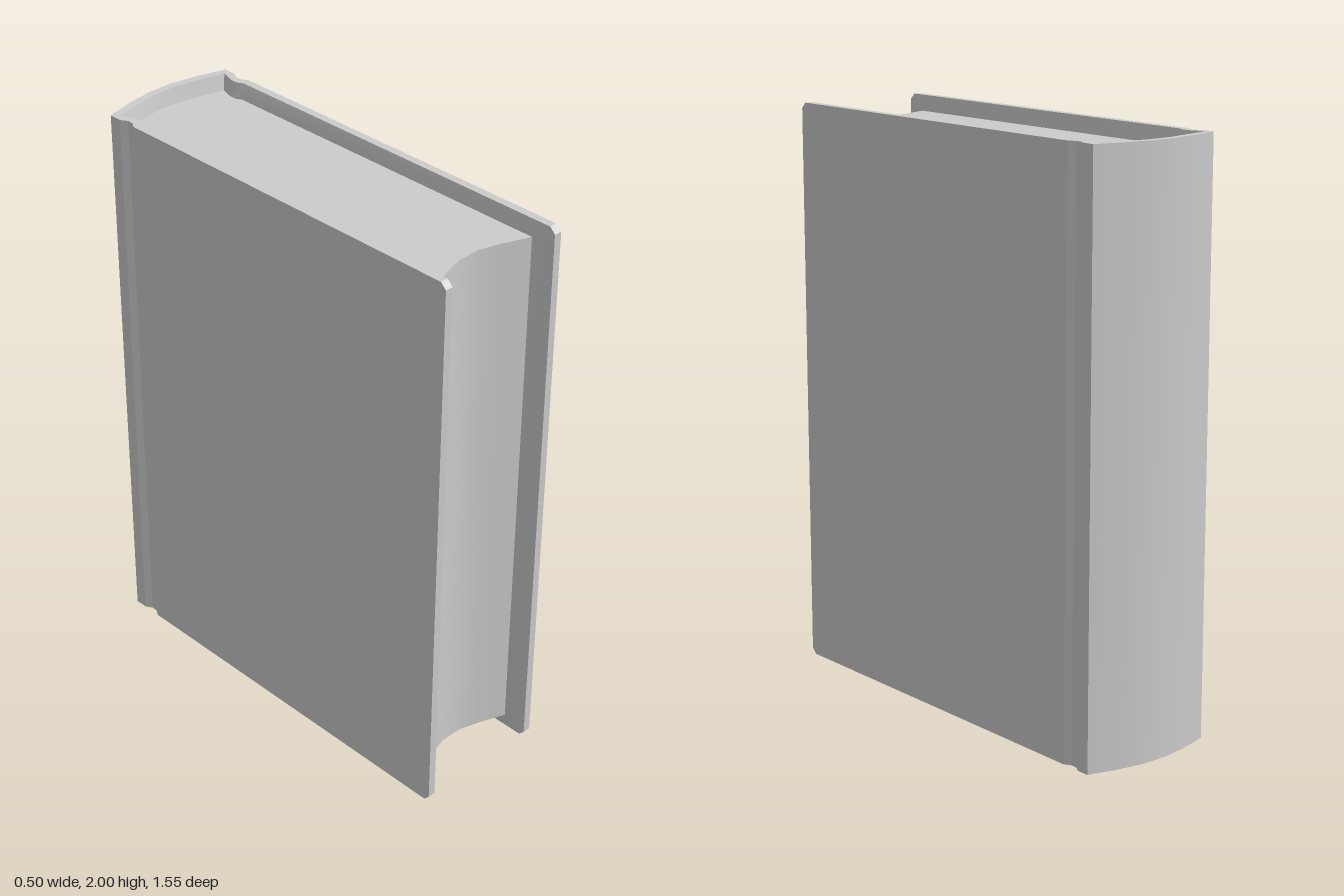
import * as THREE from 'three';
import { toCreasedNormals } from 'three/addons/utils/BufferGeometryUtils.js';

const H = 2, INSET = 0.055, CREASE = 0.5;

// Cover stations on the left half, fore edge to spine:
// outer x,z | rim x,z | inner x,z (where cover meets the pages) | corner cut
const HALF = [
  [0.25, 0.775, 0.222, 0.775, 0.211, 0.695, 0.02],
  [0.25, 0.755, 0.222, 0.755, 0.211, 0.695, 0],
  [0.25, -0.616, 0.222, -0.606, 0.211, -0.604, 0],
  [0.236, -0.638, 0.21, -0.63, 0.2, -0.626, 0],
  [0.236, -0.66, 0.21, -0.655, 0.2, -0.655, 0],
  [0.25, -0.684, 0.219, -0.682, 0.208, -0.679, 0],
  [0.25, -0.73, 0.228, -0.71, 0.215, -0.7, 0],
  [0.15, -0.757, 0.14, -0.729, 0.135, -0.718, 0],
  [0.05, -0.775, 0.05, -0.747, 0.045, -0.737, 0],
];
const mirror = ([ox, oz, rx, rz, ix, iz, cut]) => [-ox, oz, -rx, rz, -ix, iz, cut];
const STATIONS = [...HALF, ...HALF.map(mirror).reverse()];

// Boards, hinge grooves and spine as one wrapped shell with a bevelled inner rim
function coverGeometry() {
  const pos = [];
  const tri = (a, b, c) => pos.push(...a, ...b, ...c);
  const quad = (a, b, c, d) => { tri(a, b, c); tri(a, c, d); };
  const rings = STATIONS.map(([ox, oz, rx, rz, ix, iz, cut]) => [
    [ox, cut, oz], [ox, H - cut, oz],
    [rx, H - cut, rz], [ix, H - INSET, iz],
    [ix, INSET, iz], [rx, cut, rz],
  ]);
  for (let i = 0; i < rings.length - 1; i++) {
    const p = rings[i], q = rings[i + 1];
    for (let j = 0; j < 6; j++) {
      if (j === 3) continue; // covered by the page block
      const k = (j + 1) % 6;
      quad(p[j], q[j], q[k], p[k]);
    }
  }
  // Fore edges of the two boards
  const edge = (r, flip) => {
    for (const f of [[0, 1, 2, 5], [2, 3, 4, 5]]) {
      const c = f.map((n) => r[n]);
      quad(...(flip ? c.reverse() : c));
    }
  };
  edge(rings[0], false);
  edge(rings[rings.length - 1], true);
  const g = new THREE.BufferGeometry();
  g.setAttribute('position', new THREE.Float32BufferAttribute(pos, 3));
  return toCreasedNormals(g, CREASE);
}

// Page block: fills the cover, with a hollowed fore edge
function pagesGeometry() {
  const outline = STATIONS.slice(1, -1).map((s) => new THREE.Vector2(s[4], -s[5]));
  for (const [x, z] of [[-0.11, 0.658], [-0.04, 0.638], [0.04, 0.638], [0.11, 0.658]]) {
    outline.push(new THREE.Vector2(x, -z));
  }
  const g = new THREE.ExtrudeGeometry(new THREE.Shape(outline), {
    depth: H - 2 * INSET, bevelEnabled: false,
  });
  g.rotateX(-Math.PI / 2).translate(0, INSET, 0);
  return toCreasedNormals(g, CREASE);
}

export function createModel() {
  const book = new THREE.Group();
  book.name = 'book';
  const grey = new THREE.MeshStandardMaterial({ color: 0xcccccc });
  const add = (name, geometry) => {
    const mesh = new THREE.Mesh(geometry, grey);
    mesh.name = name;
    book.add(mesh);
  };
  add('cover', coverGeometry());
  add('pages', pagesGeometry());
  return book;
}
